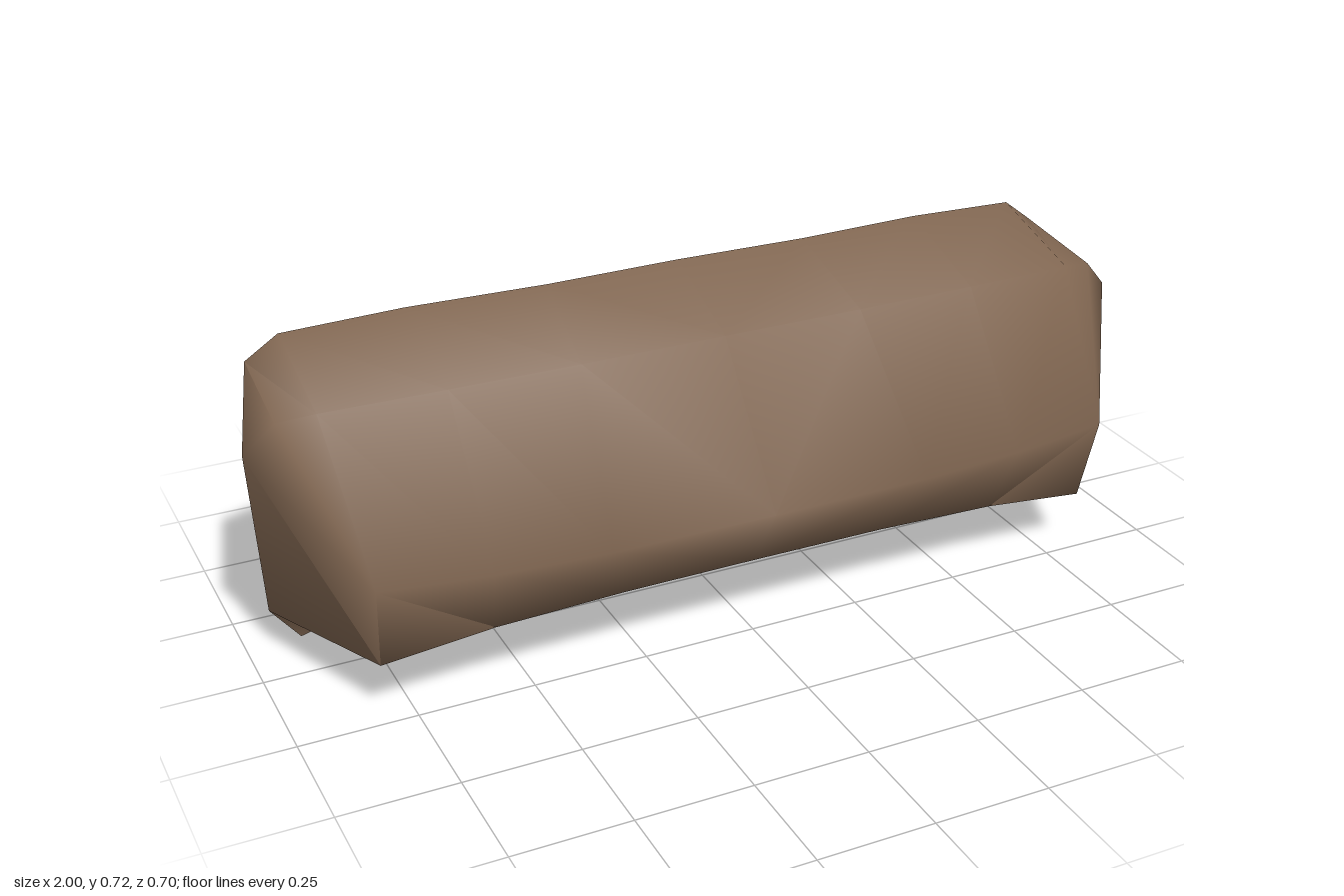
import * as THREE from 'three';
import { toCreasedNormals } from 'three/addons/utils/BufferGeometryUtils.js';

// Cross-sections from the middle outwards. Each lists [x, y, z] for:
// back ridge, front top edge, nose, front lower edge, underside, back lower edge,
// lower hollow, upper hollow
const MIDDLE = [[0, 0.716, -0.12], [0, 0.63, 0.11], [0, 0.325, 0.347], [0, 0.18, 0.265],
  [0, 0.192, -0.02], [0, 0.2, -0.23], [0, 0.35, 0.15], [0, 0.43, 0.14]];
const INNER = [[0.3, 0.713, -0.12], [0.32, 0.629, 0.108], [0.36, 0.325, 0.343], [0.3, 0.177, 0.262],
  [0.3, 0.188, -0.02], [0.3, 0.2, -0.24], [0.3, 0.35, 0.14], [0.3, 0.43, 0.13]];
const OUTER = [[0.6, 0.705, -0.15], [0.6, 0.627, 0.1], [0.6, 0.325, 0.325], [0.58, 0.165, 0.257],
  [0.58, 0.168, -0.02], [0.58, 0.2, -0.26], [0.58, 0.35, 0.1], [0.58, 0.43, 0.09]];
const CORNER = [[0.86, 0.69, -0.168], [0.86, 0.622, 0.083], [0.83, 0.33, 0.295], [0.82, 0.137, 0.25],
  [0.72, 0.088, -0.075], [0.82, 0.132, -0.35], [0.883, 0.3, -0.305], [0.902, 0.49, -0.242]];
const SIDE = [[0.93, 0.637, -0.18], [0.937, 0.607, 0.058], [1, 0.54, 0.035], [0.95, 0.1, -0.107],
  [0.88, 0, -0.14], [0.88, 0.215, -0.333], [0.892, 0.3, -0.303], [0.911, 0.49, -0.24]];

const HOLLOW_START = 5;

// Skins a row of closed rings and closes both ends
function skin(rings) {
  const n = rings[0].length;
  const middle = (rings.length - 1) / 2;
  const index = [];
  for (let i = 0; i < rings.length - 1; i++) {
    for (let j = 0; j < n; j++) {
      const a = i * n + j, b = i * n + (j + 1) % n;
      const c = b + n, d = a + n;
      // Diagonals mirror about the middle and turn over inside the hollow
      if ((i >= middle) !== (j >= HOLLOW_START)) index.push(a, b, d, b, c, d);
      else index.push(a, b, c, a, c, d);
    }
  }
  // End faces, split across the arm from front to back
  const cap = [[0, 1, 2], [0, 2, 7], [7, 2, 6], [6, 2, 3], [6, 3, 5], [5, 3, 4]];
  const last = (rings.length - 1) * n;
  for (const [a, b, c] of cap) {
    index.push(last + a, last + b, last + c);
    index.push(a, c, b);
  }
  const geometry = new THREE.BufferGeometry();
  geometry.setAttribute('position', new THREE.Float32BufferAttribute(rings.flat(2), 3));
  geometry.setIndex(index);
  return toCreasedNormals(geometry, THREE.MathUtils.degToRad(72));
}

export function createModel() {
  const brown = new THREE.MeshStandardMaterial({ color: 0x7f6550 });
  brown.name = 'brown';

  // Curved bar with a hollow back and a downturned arm at each end
  const half = [INNER, OUTER, CORNER, SIDE];
  const mirrored = half.map(ring => ring.map(([x, y, z]) => [-x, y, z])).reverse();
  const bar = new THREE.Mesh(skin([...mirrored, MIDDLE, ...half]), brown);
  bar.name = 'curvedBar';

  const model = new THREE.Group();
  model.name = 'curvedGuard';
  model.add(bar);
  return model;
}
